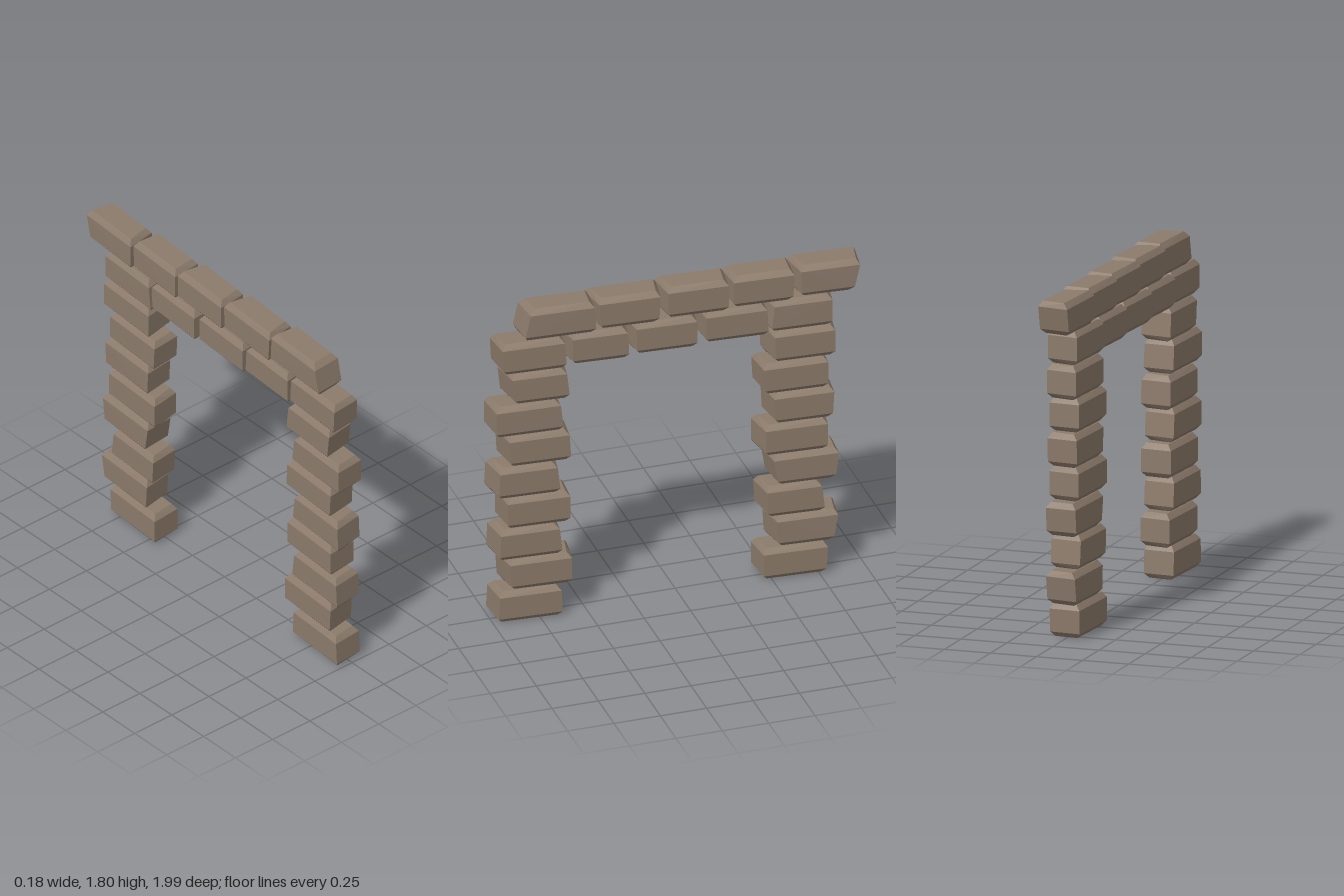
import * as THREE from 'three';
import { ConvexGeometry } from 'three/addons/geometries/ConvexGeometry.js';

const ROW = 0.18; // height of one course

// Each stone: [front z at bottom, front z at top, back z at bottom, back z at top]
const frontPillar = [
  [0.99, 0.98, 0.62, 0.63], [0.93, 0.94, 0.56, 0.56], [0.99, 0.98, 0.615, 0.635], [0.94, 0.94, 0.58, 0.58],
  [1.0, 0.99, 0.62, 0.64], [0.93, 0.94, 0.57, 0.58], [1.0, 1.0, 0.615, 0.635], [0.91, 0.93, 0.57, 0.59],
];
const backPillar = [
  [-0.44, -0.44, -0.8, -0.81], [-0.51, -0.5, -0.85, -0.88], [-0.46, -0.45, -0.8, -0.78], [-0.52, -0.49, -0.85, -0.87],
  [-0.44, -0.44, -0.82, -0.82], [-0.5, -0.49, -0.84, -0.85], [-0.45, -0.44, -0.81, -0.81], [-0.49, -0.49, -0.86, -0.86],
];
const lowerLintel = [
  [0.96, 0.97, 0.6, 0.61], [0.6, 0.6, 0.25, 0.26], [0.25, 0.25, -0.11, -0.11],
  [-0.13, -0.13, -0.49, -0.48], [-0.47, -0.49, -0.845, -0.845],
];
const upperLintel = [
  [0.85, 0.81, 0.44, 0.45], [0.45, 0.46, 0.09, 0.08], [0.08, 0.08, -0.28, -0.28],
  [-0.28, -0.28, -0.62, -0.63], [-0.63, -0.63, -0.96, -1.0],
];

// Rough block: slightly twisted in plan, with bevelled top and bottom edges
function stoneGeometry([fb, ft, bb, bt], y0, slant) {
  const points = [];
  const h = ROW - 0.002;
  const levels = [[0, 0.022], [0.026, 0], [h - 0.03, 0], [h, 0.022]]; // height, inset
  for (const [y, inset] of levels) {
    const t = y / h;
    const zf = THREE.MathUtils.lerp(fb, ft, t) - inset;
    const zb = THREE.MathUtils.lerp(bb, bt, t) + inset;
    const x = 0.092 - inset;
    points.push(
      new THREE.Vector3(-x, y0 + y, zf),
      new THREE.Vector3(x - 0.018, y0 + y, zf - slant),
      new THREE.Vector3(x, y0 + y, zb + slant),
      new THREE.Vector3(-x + 0.018, y0 + y, zb),
    );
  }
  return new ConvexGeometry(points);
}

export function createModel() {
  const model = new THREE.Group();
  model.name = 'stoneDoorway';
  const material = new THREE.MeshStandardMaterial({ color: 0x8c7b6b, flatShading: true });

  const addStones = (name, stones, rowOf) => {
    const group = new THREE.Group();
    group.name = name;
    stones.forEach((ends, i) => {
      const slant = 0.014 + 0.006 * ((i * 2) % 3);
      const stone = new THREE.Mesh(stoneGeometry(ends, rowOf(i) * ROW, slant), material);
      stone.name = `${name}Stone${i + 1}`;
      group.add(stone);
    });
    model.add(group);
  };

  // Pillars stack upwards, lintel courses run along z
  addStones('frontPillar', frontPillar, (i) => i);
  addStones('backPillar', backPillar, (i) => i);
  addStones('lowerLintel', lowerLintel, () => 8);
  addStones('upperLintel', upperLintel, () => 9);
  return model;
}
